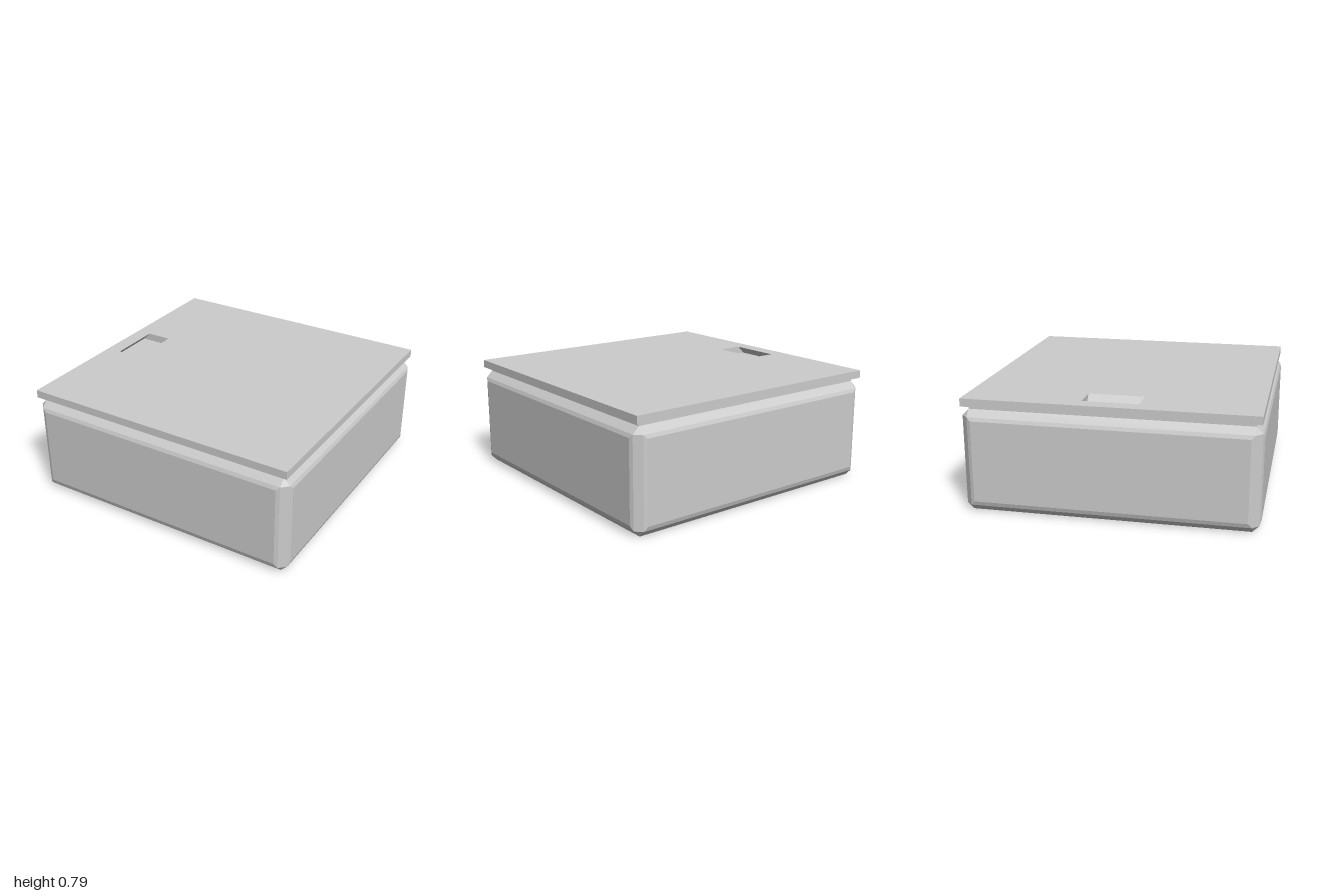
import * as THREE from 'three';
import { ConvexGeometry } from 'three/addons/geometries/ConvexGeometry.js';

const material = new THREE.MeshStandardMaterial({ color: 0xcccccc, flatShading: true });

function part(name, geometry) {
  const mesh = new THREE.Mesh(geometry, material);
  mesh.name = name;
  return mesh;
}

// Four corners of an upright rectangle at depth z
const rect = (x, y0, y1, z) =>
  [[-x, y0], [x, y0], [x, y1], [-x, y1]].map(([a, b]) => new THREE.Vector3(a, b, z));

// Box with every edge cut at 45 degrees
function chamferedBox(half, bottom, top, c) {
  const points = [];
  const hy = (top - bottom) / 2, my = (top + bottom) / 2;
  for (const sx of [-1, 1]) for (const sy of [-1, 1]) for (const sz of [-1, 1]) {
    points.push(
      new THREE.Vector3(sx * half, my + sy * (hy - c), sz * (half - c)),
      new THREE.Vector3(sx * (half - c), my + sy * hy, sz * (half - c)),
      new THREE.Vector3(sx * (half - c), my + sy * (hy - c), sz * half));
  }
  return new ConvexGeometry(points);
}

// Flat lid with a finger slot whose long walls lean 45 degrees under the edge
function lidGeometry() {
  const h = 0.988, thick = 0.055;
  const shape = new THREE.Shape().moveTo(-h, -h).lineTo(h, -h).lineTo(h, h).lineTo(-h, h).closePath();
  const slot = new THREE.Path().moveTo(-0.88, -0.19).lineTo(-0.88, 0.19)
    .lineTo(-0.7, 0.19).lineTo(-0.7, -0.19).closePath();
  shape.holes.push(slot);
  const geometry = new THREE.ExtrudeGeometry(shape, { depth: thick, bevelEnabled: false });
  const p = geometry.attributes.position;
  for (let i = 0; i < p.count; i++) {
    if (Math.abs(p.getY(i)) < 0.5 && p.getZ(i) < thick / 2) p.setX(i, p.getX(i) - thick);
  }
  geometry.rotateX(-Math.PI / 2);
  geometry.computeVertexNormals();
  return geometry;
}

export function createModel() {
  const model = new THREE.Group();
  model.name = 'box';

  // Chamfered body
  model.add(part('body', chamferedBox(0.99, 0, 0.71, 0.045)));

  // Raised bevelled panel on each side
  const panel = new ConvexGeometry([
    ...rect(0.945, 0.045, 0.665, 0.99), ...rect(0.92, 0.075, 0.64, 1)]);
  ['front', 'left', 'back', 'right'].forEach((side, i) => {
    const mesh = part(side + 'Panel', panel);
    mesh.rotation.y = i * Math.PI / 2;
    model.add(mesh);
  });

  // Neck under the lid; its top is the floor of the slot
  const neck = part('neck', new THREE.BoxGeometry(1.89, 0.035, 1.89));
  neck.position.y = 0.7175;
  model.add(neck);

  // Lid with slot
  const lid = part('lid', lidGeometry());
  lid.position.y = 0.735;
  model.add(lid);

  return model;
}
